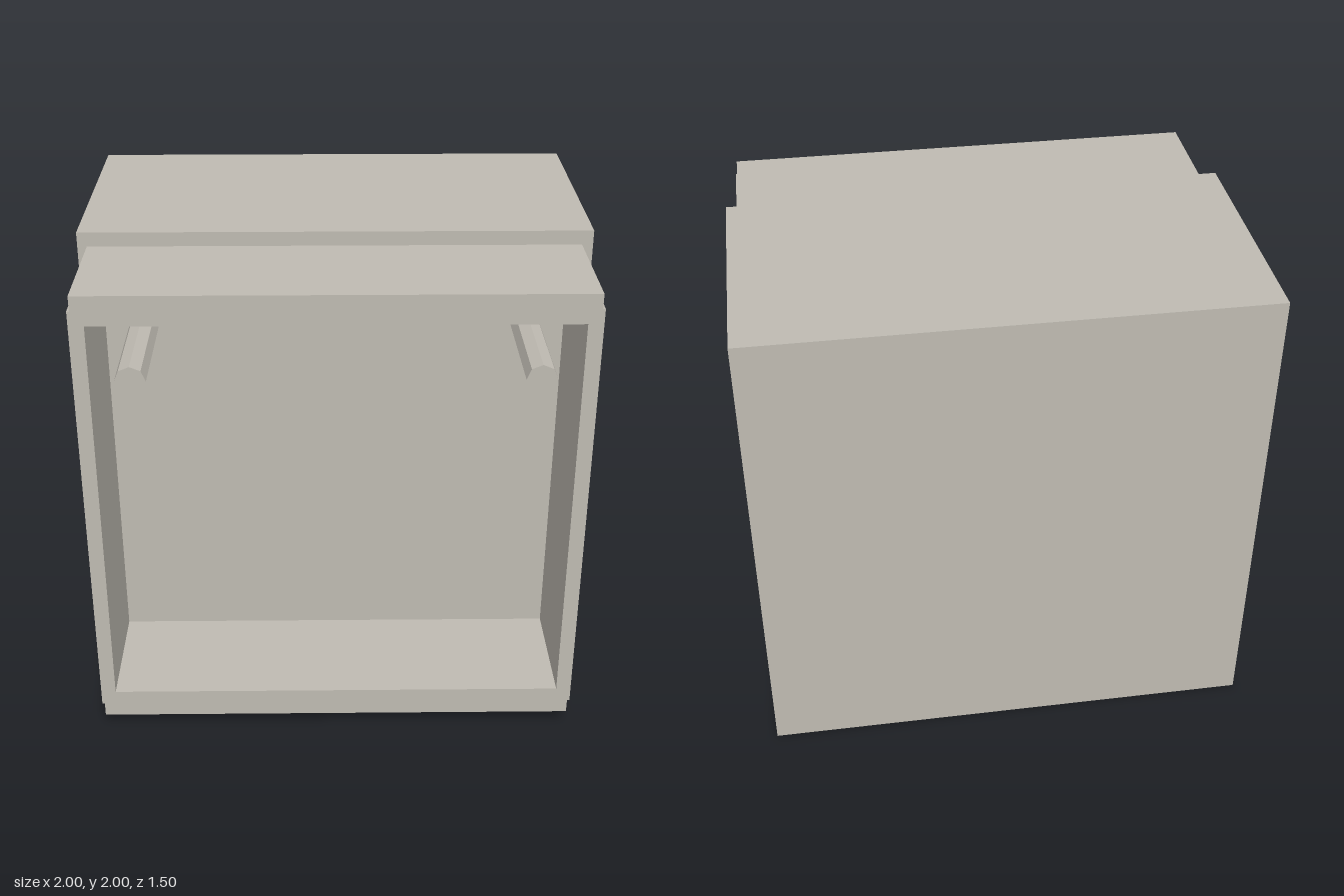
import * as THREE from 'three';

export function createModel() {
  const group = new THREE.Group();
  const stone = new THREE.MeshStandardMaterial({ color: 0xbfbbb2 });
  stone.name = 'warm grey';

  const add = (name, geometry, x, y, z) => {
    const mesh = new THREE.Mesh(geometry, stone);
    mesh.name = name;
    mesh.position.set(x, y, z);
    group.add(mesh);
    return mesh;
  };

  const bodyFront = 0.25, collarDepth = 0.5;
  const centreX = -0.003; // the collar sits a hair off centre

  // Solid rear block
  add('body', new THREE.BoxGeometry(2, 2, 1), 0, 1, -0.25);

  // Hollow square collar with slightly raised cheeks on both sides
  const halfW = 0.96, cheekW = 0.97, bottom = 0.064, top = 1.943, low = 0.123, high = 1.884;
  const outline = new THREE.Shape([
    [-halfW, bottom], [halfW, bottom], [halfW, low], [cheekW, low], [cheekW, high], [halfW, high],
    [halfW, top], [-halfW, top], [-halfW, high], [-cheekW, high], [-cheekW, low], [-halfW, low],
  ].map(([x, y]) => new THREE.Vector2(x, y)));
  const innerW = 0.911, innerLow = 0.182, innerHigh = 1.825;
  outline.holes.push(new THREE.Path([
    [-innerW, innerLow], [-innerW, innerHigh], [innerW, innerHigh], [innerW, innerLow],
  ].map(([x, y]) => new THREE.Vector2(x, y))));
  add('collar', new THREE.ExtrudeGeometry(outline, { depth: collarDepth, bevelEnabled: false }),
    centreX, 0, bodyFront);

  // Two eight-sided pegs inside the recess, flush with the collar rim
  const pegGeometry = new THREE.CylinderGeometry(0.059, 0.059, collarDepth, 8).toNonIndexed();
  pegGeometry.rotateX(Math.PI / 2);
  pegGeometry.computeVertexNormals();
  for (const side of [-1, 1]) {
    add(side < 0 ? 'rightPeg' : 'leftPeg', pegGeometry,
      centreX + side * 0.76, 1.604, bodyFront + collarDepth / 2);
  }
  return group;
}
